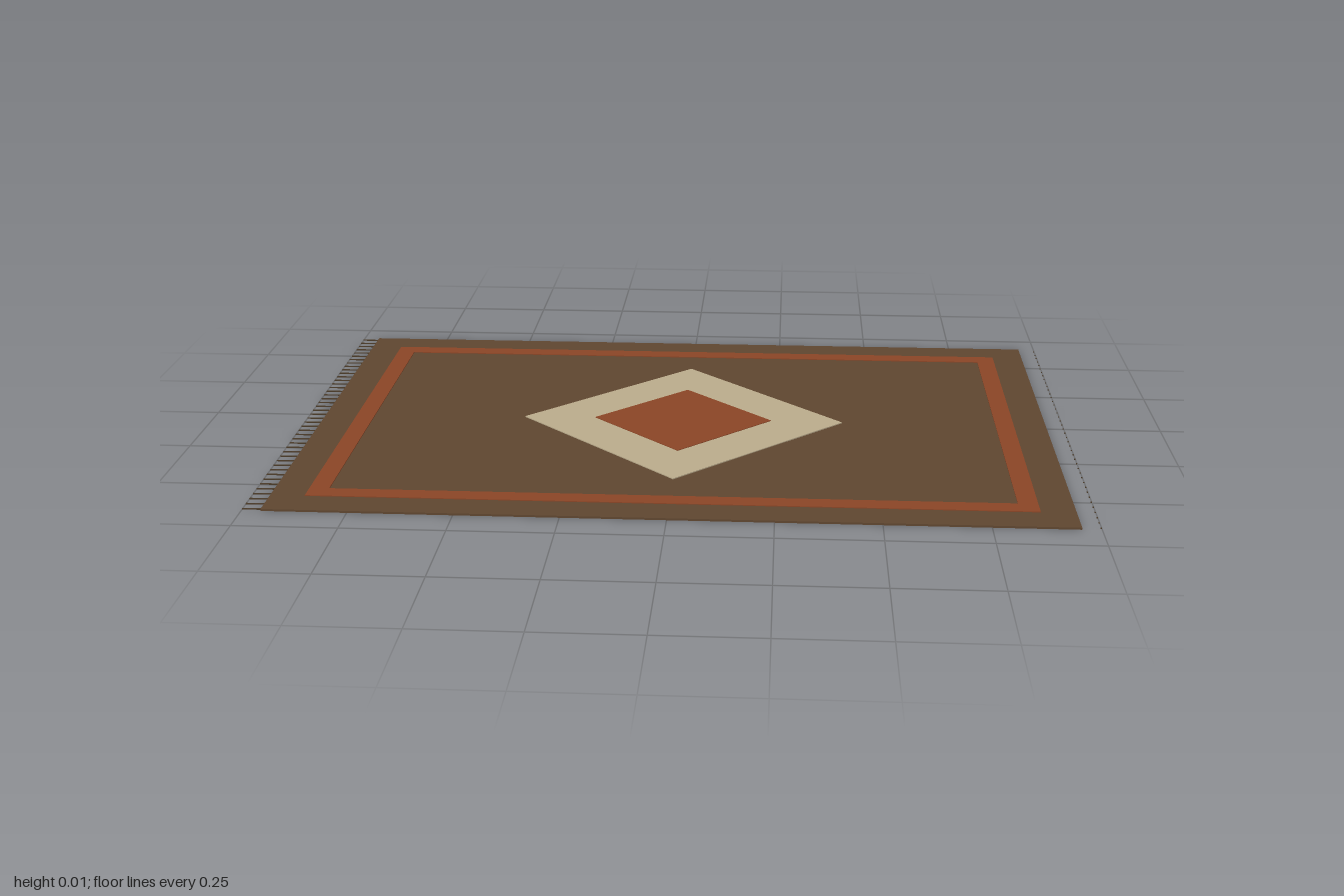
import * as THREE from 'three';

const mat = (color) => new THREE.MeshStandardMaterial({ color });

export function createModel() {
  const rug = new THREE.Group();
  rug.name = 'rug';
  const brown = mat(0x5f4630), rust = mat(0x8b4526), cream = mat(0xbbac8c), thread = mat(0x4a3a28);

  const box = (name, parent, material, w, h, d, x, y, z) => {
    const mesh = new THREE.Mesh(new THREE.BoxGeometry(w, h, d), material);
    mesh.name = name;
    mesh.position.set(x, y, z);
    parent.add(mesh);
    return mesh;
  };

  // woven base
  const baseTop = 0.005;
  box('base', rug, brown, 1.908, baseTop, 1.322, 0, baseTop / 2, 0);

  // raised border frame
  const frame = new THREE.Shape();
  frame.moveTo(-0.87, -0.576).lineTo(0.87, -0.576).lineTo(0.87, 0.576).lineTo(-0.87, 0.576).closePath();
  const opening = new THREE.Path();
  opening.moveTo(-0.822, -0.529).lineTo(-0.822, 0.529).lineTo(0.822, 0.529).lineTo(0.822, -0.529).closePath();
  frame.holes.push(opening);
  const frameGeometry = new THREE.ExtrudeGeometry(frame, { depth: 0.002, bevelEnabled: false });
  frameGeometry.rotateX(-Math.PI / 2);
  const border = new THREE.Mesh(frameGeometry, rust);
  border.name = 'border';
  border.position.y = baseTop;
  rug.add(border);

  // stacked central diamonds (r = half diagonal)
  const diamond = (name, material, r, bottom, top) => {
    const side = r * Math.SQRT2;
    box(name, rug, material, side, top - bottom, side, 0, (top + bottom) / 2, 0).rotation.y = Math.PI / 4;
  };
  diamond('outerDiamond', cream, 0.42, baseTop, 0.0075);
  diamond('innerDiamond', rust, 0.233, 0.0075, 0.009);

  // long fringe on the right end, short thread tips on the left end
  const rightFringe = new THREE.Group(), leftFringe = new THREE.Group();
  rightFringe.name = 'rightFringe';
  leftFringe.name = 'leftFringe';
  const count = 43;
  for (let i = 0; i < count; i++) {
    const z = -0.652 + (1.304 * i) / (count - 1);
    box('thread', rightFringe, thread, 0.048, 0.002, 0.005, -0.976, 0.001, z);
    box('threadTip', leftFringe, thread, 0.003, 0.002, 0.003, 0.9985, 0.001, z);
  }
  rug.add(rightFringe, leftFringe);
  return rug;
}
